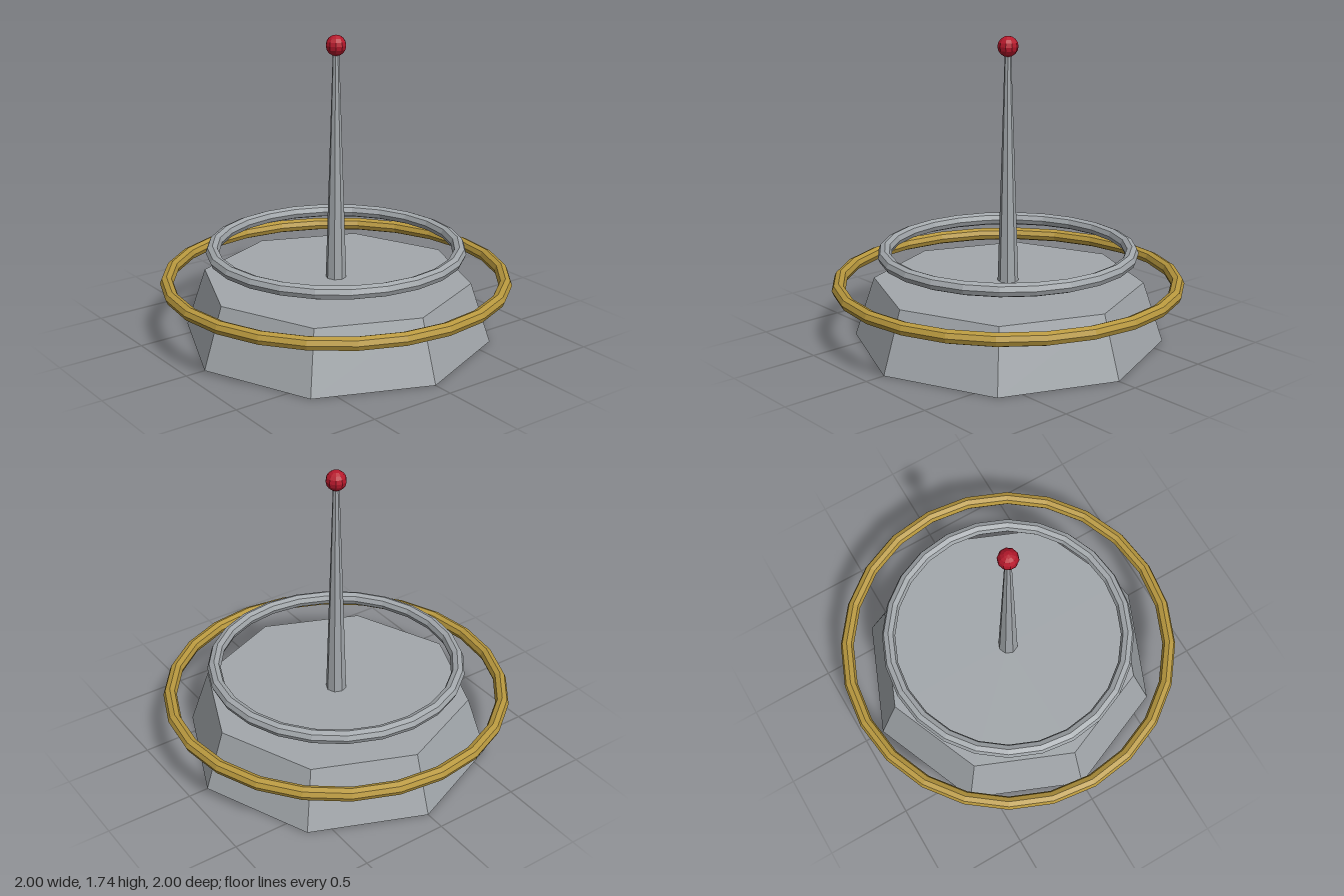
import * as THREE from 'three';

const paint = (name, color) => {
  const m = new THREE.MeshStandardMaterial({ color, flatShading: true });
  m.name = name;
  return m;
};

export function createModel() {
  const group = new THREE.Group();
  const grey = paint('metalGrey', 0xa3a8ac);
  const gold = paint('gold', 0xb8983e);
  const red = paint('red', 0xb5182b);

  const add = (name, geometry, material, y) => {
    const mesh = new THREE.Mesh(geometry, material);
    mesh.name = name;
    mesh.position.y = y;
    group.add(mesh);
  };
  const ring = (radius) => new THREE.TorusGeometry(radius, 0.0385, 8, 24).rotateX(Math.PI / 2);

  // Tapered octagonal base
  const baseHeight = 0.346;
  add('base', new THREE.CylinderGeometry(0.77, 0.885, baseHeight, 8), grey, baseHeight / 2);

  // Floating horizontal rings
  add('outerRing', ring(0.9615), gold, 0.346);
  add('innerRing', ring(0.7), grey, 0.519);

  // Slender mast with a ball on its tip
  const tip = 1.683;
  add('mast', new THREE.CylinderGeometry(0.017, 0.059, tip - baseHeight, 8), grey, (tip + baseHeight) / 2);
  add('tipBall', new THREE.SphereGeometry(0.058, 10, 8), red, tip);

  return group;
}
